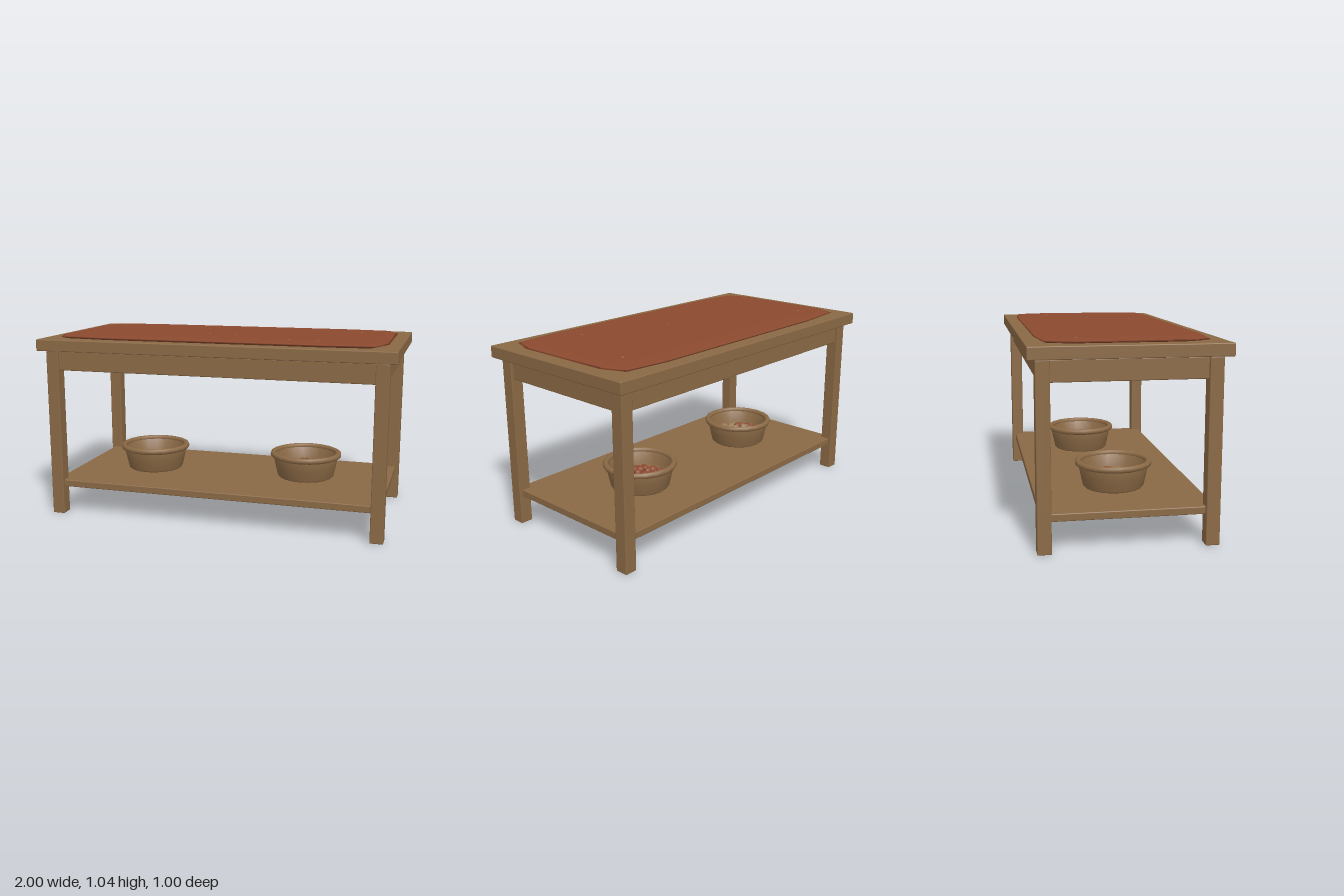
import * as THREE from 'three';
import { RoundedBoxGeometry } from 'three/addons/geometries/RoundedBoxGeometry.js';

const material = (name, color, side = THREE.FrontSide) => {
  const m = new THREE.MeshStandardMaterial({ color, side });
  m.name = name;
  return m;
};

export function createModel() {
  const model = new THREE.Group();
  model.name = 'workTable';
  const wood = material('wood', 0x8a6945);
  const clay = material('redClay', 0x8b4a2f);
  const tan = material('tanStone', 0x9a7d58);

  const add = (parent, name, geometry, mat, x = 0, y = 0, z = 0) => {
    const mesh = new THREE.Mesh(geometry, mat);
    mesh.name = name;
    mesh.position.set(x, y, z);
    parent.add(mesh);
    return mesh;
  };

  // Board given by its full size and its bottom height, with softened edges
  const board = (name, w, h, d, x, bottom, z) =>
    add(model, name, new RoundedBoxGeometry(w, h, d, 2, 0.005), wood, x, bottom + h / 2, z);

  // Table frame
  board('tableTop', 2, 0.065, 1, 0, 0.96, 0);
  board('shelf', 1.88, 0.04, 0.88, 0, 0.16, 0);
  for (const s of [-1, 1]) {
    for (const t of [-1, 1]) board('leg', 0.072, 0.956, 0.072, s * 0.925, 0, t * 0.424);
    board('longApron', 1.84, 0.11, 0.04, 0, 0.846, s * 0.424);
    board('sideApron', 0.04, 0.11, 0.84, s * 0.925, 0.846, 0);
  }

  // Thin domed slab on the top: rings of a chamfered outline
  const corner = [[0.935, 0.285], [0.885, 0.41], [0.63, 0.435]];
  const back = [...corner].reverse();
  const outline = [
    ...corner, ...back.map(([x, z]) => [-x, z]),
    ...corner.map(([x, z]) => [-x, -z]), ...back.map(([x, z]) => [x, -z]),
  ];
  const rings = [[0.95, 1.022], [1, 1.033], [0.985, 1.037], [0.92, 1.04], [0.6, 1.041]];
  const n = outline.length, pos = [], index = [];
  for (const [s, y] of rings) for (const [x, z] of outline) pos.push(x * s, y, z * s);
  for (let r = 0; r < rings.length - 1; r++) {
    for (let i = 0; i < n; i++) {
      const a = r * n + i, b = r * n + (i + 1) % n;
      index.push(a, a + n, b, b, a + n, b + n);
    }
  }
  const last = (rings.length - 1) * n;
  pos.push(0, 1.042, 0, 0, 1.022, 0);
  for (let i = 0; i < n; i++) {
    const j = (i + 1) % n;
    index.push(last + i, rings.length * n, last + j, i, j, rings.length * n + 1);
  }
  const slab = new THREE.BufferGeometry();
  slab.setAttribute('position', new THREE.Float32BufferAttribute(pos, 3));
  slab.setIndex(index);
  slab.computeVertexNormals();
  add(model, 'claySlab', slab, clay);

  // Tiny grains just breaking through the slab
  const grain = new THREE.SphereGeometry(0.009, 8, 6);
  for (const [x, z] of [[-0.77, -0.24], [0.73, -0.23], [0.06, 0.1], [-0.1, 0.1], [0.4, 0.26], [0.56, 0.27]])
    add(model, 'grain', grain, tan, x, 1.034, z);

  // Bowls: tapered wall with a rolled rim, holding a heap of pebbles
  const bowlProfile = [
    [0, 0], [0.158, 0], [0.166, 0.008], [0.18, 0.07], [0.192, 0.13],
    [0.178, 0.13], [0.166, 0.07], [0.15, 0.03], [0, 0.03],
  ].map(([r, y]) => new THREE.Vector2(r, y));
  const bowlGeometry = new THREE.LatheGeometry(bowlProfile, 20);
  const rimGeometry = new THREE.TorusGeometry(0.193, 0.017, 8, 20).rotateX(Math.PI / 2);
  const pebbleGeometry = new THREE.SphereGeometry(0.024, 10, 8);

  const bowl = (name, x, z, pick) => {
    const group = new THREE.Group();
    group.name = name;
    group.position.set(x, 0.2, z);
    model.add(group);
    add(group, 'bowlWall', bowlGeometry, wood);
    add(group, 'bowlRim', rimGeometry, wood, 0, 0.134, 0);
    for (let i = 0; i < 26; i++) {
      const r = 0.13 * Math.sqrt((i + 0.5) / 26), a = i * 2.4;
      const p = add(group, 'pebble', pebbleGeometry, pick(i), r * Math.cos(a), 0.085 - r * 0.27, r * Math.sin(a));
      p.scale.set(0.9 + (i % 3) * 0.12, 0.8 + (i % 2) * 0.15, 0.9 + (i % 4) * 0.08);
    }
  };
  bowl('stoneBowl', -0.49, 0, i => (i % 4 === 1 ? clay : tan));
  bowl('clayBowl', 0.445, -0.045, () => clay);

  return model;
}
